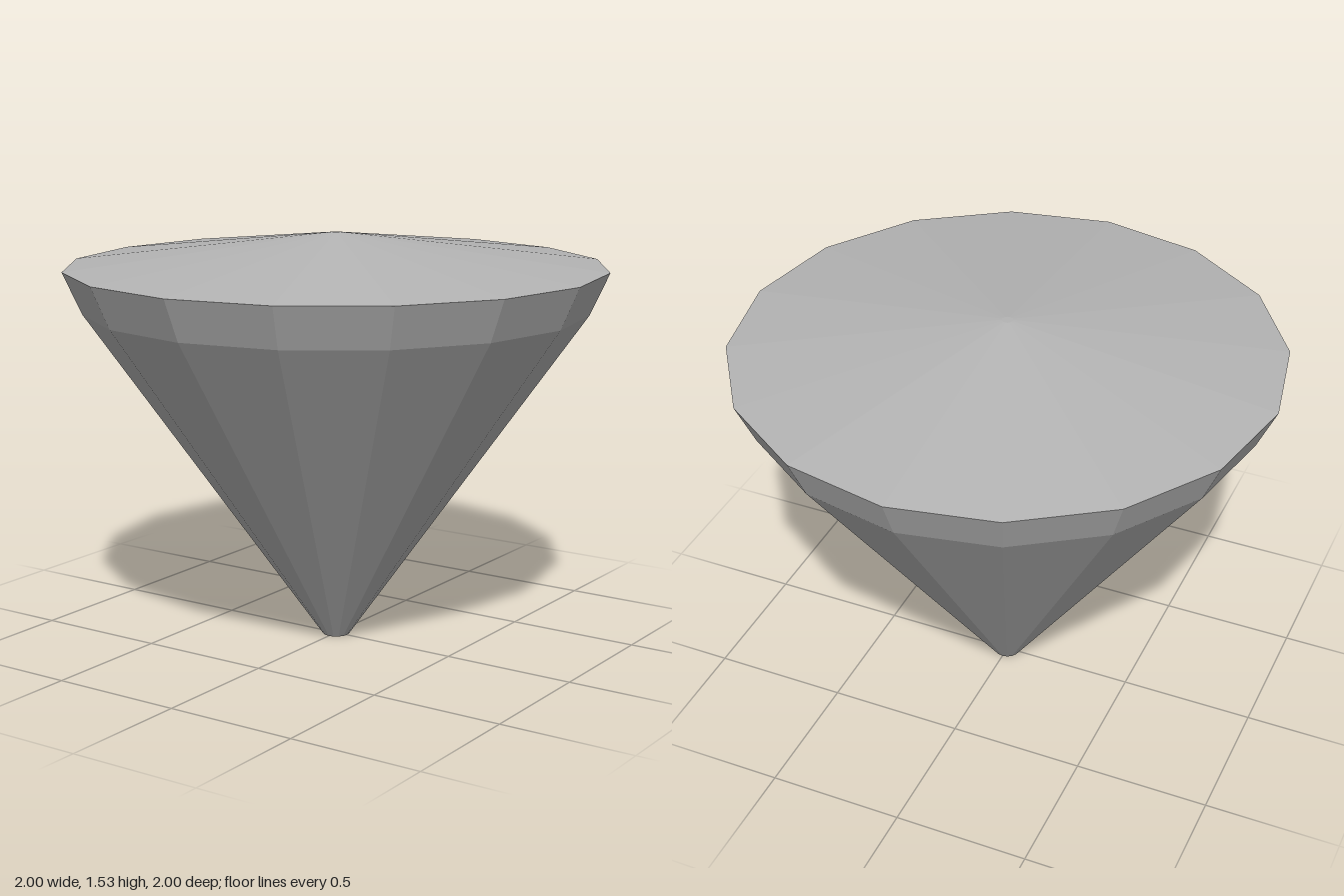
import * as THREE from 'three';

const SIDES = 16;

export function createModel() {
  const model = new THREE.Group();
  model.name = 'facetedCone';
  const grey = new THREE.MeshStandardMaterial({ color: 0xb4b4b4, flatShading: true });
  grey.name = 'grey';

  // Turns a profile of [radius, height] points, listed bottom to top
  const addTurned = (name, profile) => {
    const points = profile.map(([r, y]) => new THREE.Vector2(r, y));
    const mesh = new THREE.Mesh(new THREE.LatheGeometry(points, SIDES), grey);
    mesh.name = name;
    model.add(mesh);
  };

  // Tapered body with a flat foot and a steeper band under the rim
  addTurned('body', [[0, 0], [0.05, 0], [0.93, 1.255], [1, 1.41]]);
  // Shallow lid rising to a tiny flat tip
  addTurned('lid', [[1, 1.41], [0.02, 1.533], [0, 1.533]]);

  return model;
}
